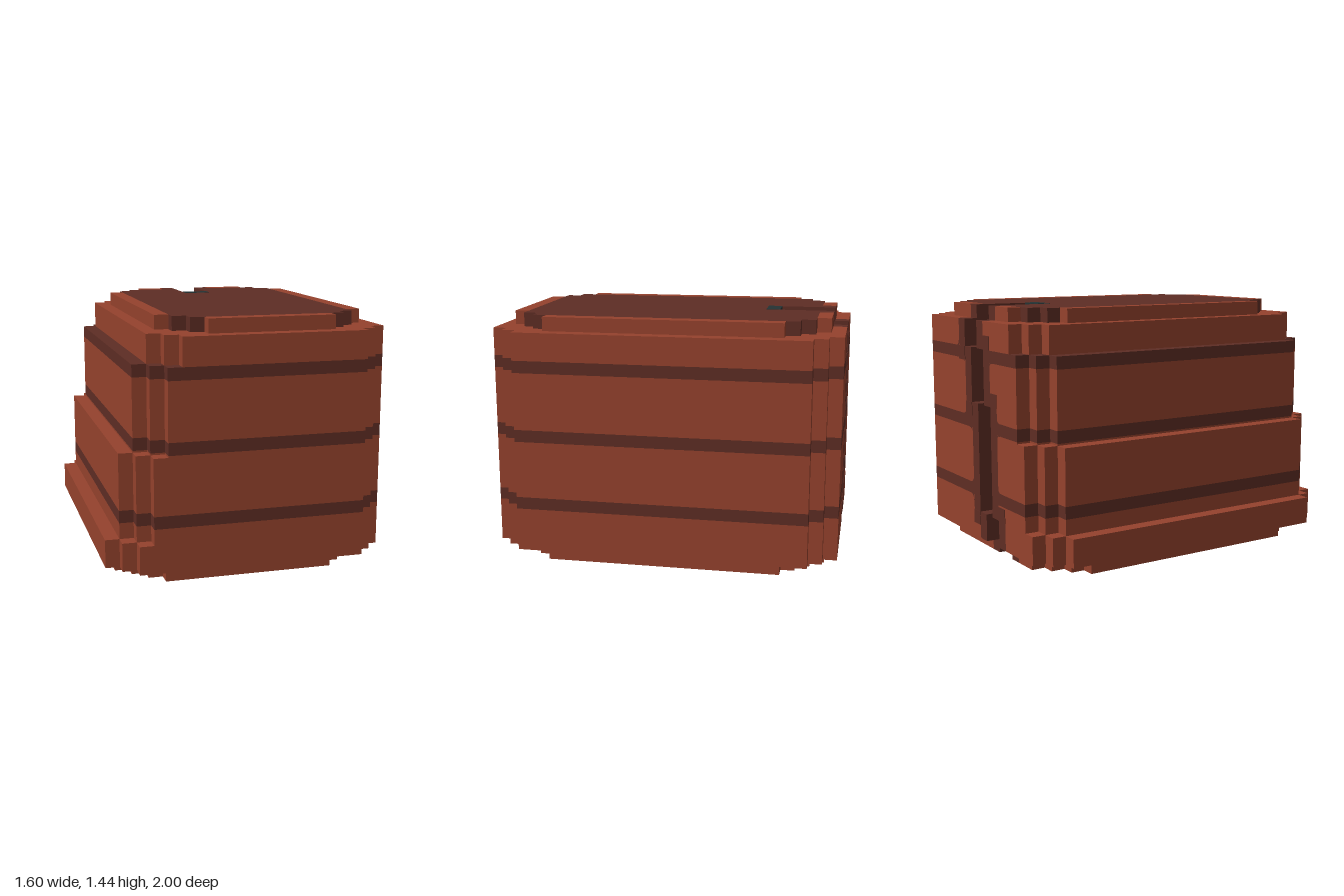
import * as THREE from 'three';

const U = 0.08; // block unit

export function createModel() {
  const model = new THREE.Group();
  const mat = (name, color) => new THREE.MeshStandardMaterial({ name, color });
  const clay = mat('clay red', 0x95422d);
  const mortar = mat('dark brown', 0x5e2d24);
  const teal = mat('dark teal', 0x243334);

  const add = (name, geometry, material) => {
    const mesh = new THREE.Mesh(geometry, material);
    mesh.name = name;
    model.add(mesh);
    return mesh;
  };

  // Box given by its limits on each axis
  const box = (name, material, x0, x1, y0, y1, z0, z1) => {
    const g = new THREE.BoxGeometry(x1 - x0, y1 - y0, z1 - z0);
    g.translate((x0 + x1) / 2, (y0 + y1) / 2, (z0 + z1) / 2);
    return add(name, g, material);
  };

  // Slab with stair-stepped corners and a notch cut into its back edge
  const slab = (name, material, y0, y1, xL, xR, Z, n, a, b, depth = 0.6) => {
    const corner = [];
    for (let i = 0; i <= n; i++) {
      corner.push([U * i, Z - U * (n - i)]);
      if (i < n) corner.push([U * (i + 1), Z - U * (n - i)]);
    }
    const back = [...corner].reverse();
    const pts = [
      ...corner.map(([d, z]) => [xR - d, z]),
      [b, Z], [b, depth], [a, depth], [a, Z],
      ...back.map(([d, z]) => [xL + d, z]),
      ...corner.map(([d, z]) => [xL + d, -z]),
      ...back.map(([d, z]) => [xR - d, -z]),
    ].map(([x, y]) => new THREE.Vector2(x, y));
    const g = new THREE.ExtrudeGeometry(new THREE.Shape(pts), { depth: y1 - y0, bevelEnabled: false });
    g.rotateX(-Math.PI / 2).translate(0, y0, 0);
    return add(name, g, material);
  };

  // Dark lining on both sides of the back channel
  const lining = (y0, y1, s, zBack, zIn) => {
    box('channelLining', mortar, s - U, s, y0, y1, zBack, zIn);
    box('channelLining', mortar, s + 2 * U, s + 3 * U, y0, y1, zBack, zIn);
  };

  // Body: the right side steps in and the channel shifts as they rise
  const leftEdge = y => (y < 0.24 ? -0.8 : y < 0.72 ? -0.72 : y < 1.2 ? -0.64 : -0.56);
  const slotAt = y => (y < 0.24 ? -0.24 : y < 0.88 ? -0.16 : y < 1.2 ? -0.08 : 0);
  const isBand = y => [0.365, 0.765, 1.165].some(c => Math.abs(y - c) < 0.035);
  const levels = [0.08, 0.24, 0.33, 0.4, 0.72, 0.73, 0.8, 0.88, 1.13, 1.2, 1.36];
  for (let i = 0; i < levels.length - 1; i++) {
    const y0 = levels[i], y1 = levels[i + 1], mid = (y0 + y1) / 2, s = slotAt(mid);
    const band = isBand(mid);
    slab(band ? 'darkBand' : 'bodyCourse', band ? mortar : clay,
      y0, y1, leftEdge(mid), 0.8, 1, 2, s - U, s + 3 * U);
    lining(y0, y1, s, -1, -0.6);
    box('channelFloor', mortar, s, s + 2 * U, y0, y1, -0.68, -0.6);
  }

  // Dark edging around each channel jog on the back
  for (const [y, s] of [[1.2, 0], [0.88, -0.08], [0.24, -0.16]]) {
    box('jogEdge', mortar, s - 2 * U, s - U, y, y + U, -1.003, -0.999);
    box('jogEdge', mortar, s + 2 * U, s + 3 * U, y - U, y, -1.003, -0.999);
  }

  // Rounded ends of the red courses beside the channel
  const fillet = (x, y, dx, dy) => {
    const r = 0.04, sh = new THREE.Shape();
    sh.moveTo(-x, y);
    sh.lineTo(-x - dx * r, y);
    sh.quadraticCurveTo(-x, y, -x, y + dy * r);
    const g = new THREE.ShapeGeometry(sh, 4);
    g.rotateY(Math.PI).translate(0, 0, -1.002);
    add('courseRounding', g, mortar);
  };
  const rows = [[0.8, 1.13, 0.16, -0.24, -0.16], [0.4, 0.73, 0.08, -0.24, -0.24]];
  for (const [y0, y1, xa, xLow, xHigh] of rows) {
    fillet(xa, y0, 1, 1);
    fillet(xa, y1, 1, -1);
    fillet(xLow, y0, -1, 1);
    fillet(xHigh, y1, -1, -1);
  }
  fillet(0.24, 1.2, 1, 1);
  fillet(0.08, 0.33, 1, -1);

  // Top: dark panel with red rim strips
  slab('topPanel', mortar, 1.36, 1.44, -0.4, 0.64, 0.84, 1, 0, 0.16);
  box('topRimRight', clay, -0.48, -0.4, 1.36, 1.44, -0.68, 0.68);
  box('topRimLeft', clay, 0.64, 0.72, 1.36, 1.44, -0.68, 0.68);
  box('topRimFront', clay, -0.24, 0.48, 1.36, 1.44, 0.84, 0.92);
  box('topRimBack', clay, -0.24, -0.08, 1.36, 1.44, -0.92, -0.84);
  box('topRimBack', clay, 0.24, 0.48, 1.36, 1.44, -0.92, -0.84);
  lining(1.36, 1.44, 0, -0.92, -0.84);

  // Base layer
  slab('base', clay, 0, 0.08, -0.72, 0.72, 0.92, 3, -0.32, 0);
  lining(0, 0.08, -0.24, -0.92, -0.6);

  // Teal tips at both ends of the channel
  for (const [s, yOut, yIn] of [[0, 1.44, 1.36], [-0.24, 0, 0.08]]) {
    const e = 0.002, x1 = s + 2 * U;
    box('channelTip', teal, s, x1, yOut - e, yOut + e, -0.6, -0.52);
    box('channelTip', teal, s, x1, yIn - e, yIn + e, -0.68, -0.6);
    box('channelTip', teal, s, x1, Math.min(yOut, yIn), Math.max(yOut, yIn), -0.602, -0.598);
  }
  return model;
}
